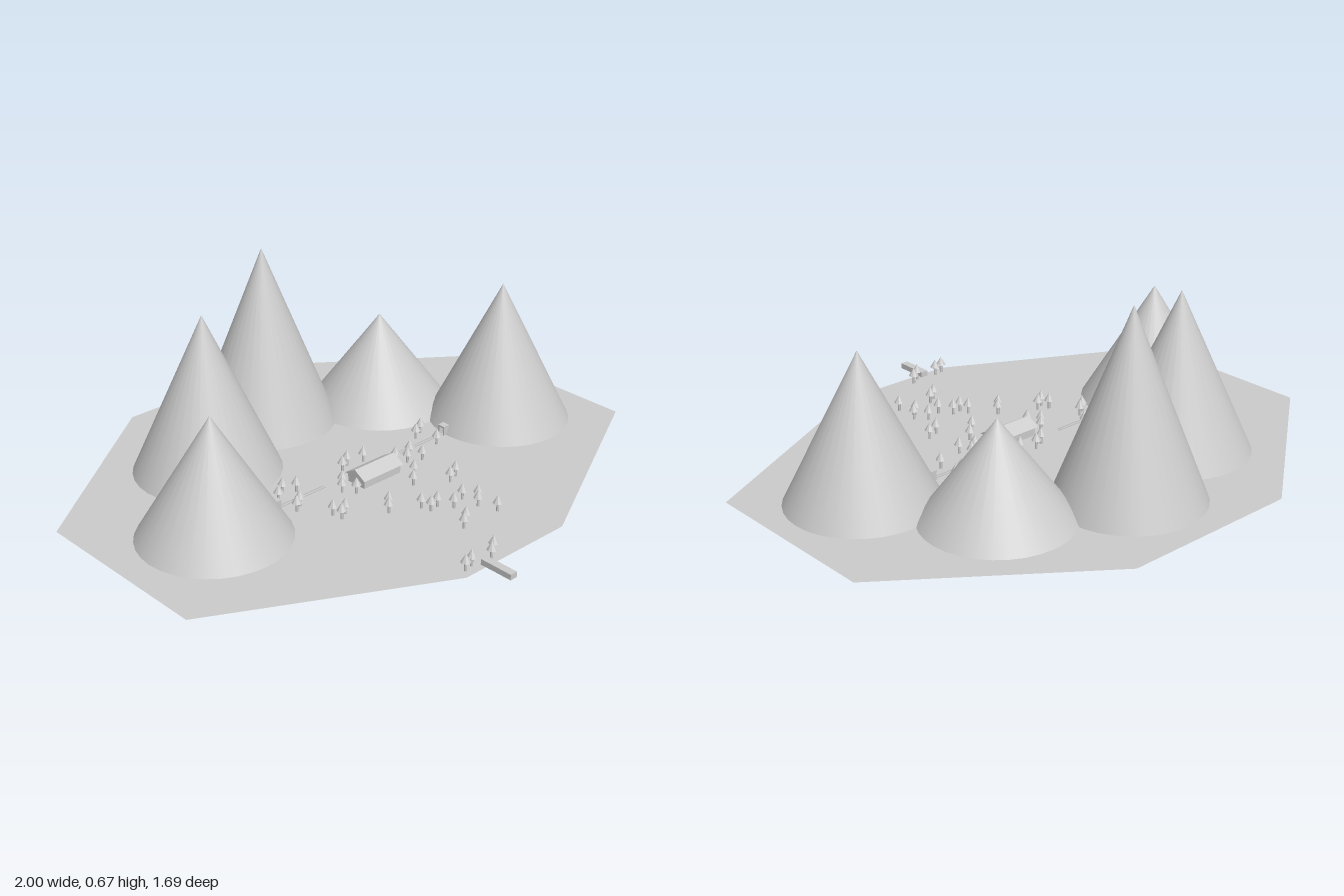
import * as THREE from 'three';

const material = new THREE.MeshStandardMaterial({ color: 0xcccccc, side: THREE.DoubleSide });
const flat = new THREE.MeshStandardMaterial({ color: 0xcccccc, flatShading: true });

function add(parent, name, geometry, x, y, z, mat = material) {
  const mesh = new THREE.Mesh(geometry, mat);
  mesh.name = name;
  mesh.position.set(x, y, z);
  parent.add(mesh);
  return mesh;
}

function group(parent, name, x = 0, y = 0, z = 0) {
  const g = new THREE.Group();
  g.name = name;
  g.position.set(x, y, z);
  parent.add(g);
  return g;
}

const box = (w, h, d) => new THREE.BoxGeometry(w, h, d);

export function createModel() {
  const model = new THREE.Group();
  model.name = 'mountainValley';

  // Eight-sided valley floor
  const outline = [[-0.34, -0.85], [0.33, -0.85], [1, -0.35], [1, 0.335],
    [0.22, 0.74], [-0.23, 0.74], [-1, 0.335], [-1, -0.35]];
  const floor = new THREE.Shape(outline.map(([x, z]) => new THREE.Vector2(x, -z)));
  add(model, 'ground', new THREE.ShapeGeometry(floor).rotateX(-Math.PI / 2), 0, 0, 0);

  // Ring of mountains: x, z, height
  const mountains = group(model, 'mountains');
  for (const [x, z, h] of [[-0.64, 0.015, 0.43], [-0.375, -0.355, 0.575],
    [0.02, -0.515, 0.665], [0.43, -0.34, 0.35], [0.665, 0.05, 0.52]]) {
    add(mountains, 'mountain', new THREE.ConeGeometry(0.26, h, 32, 1, true), x, h / 2, z);
  }

  // Small trees
  const trees = group(model, 'trees');
  const crown = new THREE.ConeGeometry(0.018, 0.03, 8);
  const trunk = new THREE.CylinderGeometry(0.005, 0.005, 0.036, 6);
  const clumps = {
    west: [-0.345, -0.013, -0.3, -0.045, -0.26, -0.02, -0.345, 0.08, -0.315, 0.06,
      -0.275, 0.18, -0.27, 0.217, -0.238, 0.2],
    house: [-0.05, -0.02, -0.01, -0.04, 0.05, -0.022, -0.12, 0.056, -0.15, 0.088,
      -0.12, 0.126, 0.13, 0.056, 0.158, 0.088, 0.2, 0.056, 0.21, 0.11, 0.112, 0.168, 0.06, 0.217],
    east: [0.307, -0.02, 0.35, -0.04, 0.33, 0.062],
    south: [-0.104, 0.267, -0.13, 0.294, 0.168, 0.286, 0.21, 0.27, -0.03, 0.345,
      -0.02, 0.38, 0.016, 0.374, 0.05, 0.417, 0.112, 0.396, 0.147, 0.436,
      0.118, 0.463, -0.02, 0.53, 0.013, 0.508, 0.14, 0.53],
    shore: [-0.203, 0.71, -0.168, 0.703, -0.09, 0.715, -0.056, 0.692],
  };
  for (const spots of Object.values(clumps)) {
    for (let i = 0; i < spots.length; i += 2) {
      const tree = group(trees, 'tree', spots[i], 0, spots[i + 1]);
      add(tree, 'trunk', trunk, 0, 0.018, 0);
      add(tree, 'crown', crown, 0, 0.047, 0, flat);
    }
  }

  // Long house with a gabled roof, ridge along x
  const house = group(model, 'house', 0.004, 0, 0.083);
  add(house, 'walls', box(0.17, 0.034, 0.08), 0, 0.017, 0);
  const gable = new THREE.Shape([[-0.048, 0], [0.048, 0], [0, 0.028]].map(([x, y]) => new THREE.Vector2(x, y)));
  const roof = new THREE.ExtrudeGeometry(gable, { depth: 0.184, bevelEnabled: false });
  roof.translate(0, 0, -0.092).rotateY(Math.PI / 2);
  add(house, 'roof', roof, 0, 0.032, 0);

  // Tunnel portals at the mountain feet, with narrow rails to the house
  for (const [x, inner] of [[-0.386, -0.17], [0.408, 0.17]]) {
    const portal = group(model, 'tunnelPortal', x, 0, 0.02);
    for (const s of [-1, 1]) add(portal, 'post', box(0.025, 0.03, 0.006), 0, 0.015, s * 0.012);
    add(portal, 'lintel', box(0.027, 0.007, 0.03), 0, 0.0315, 0);
    for (const s of [-1, 1]) {
      add(model, 'rail', box(Math.abs(x - inner), 0.004, 0.002), (x + inner) / 2, 0.002, 0.02 + s * 0.006);
    }
  }

  // Jetty reaching out past the front shore
  const jetty = group(model, 'jetty', -0.128, 0, 0.78);
  add(jetty, 'deck', box(0.028, 0.02, 0.125), 0, 0.01, 0);

  return model;
}
